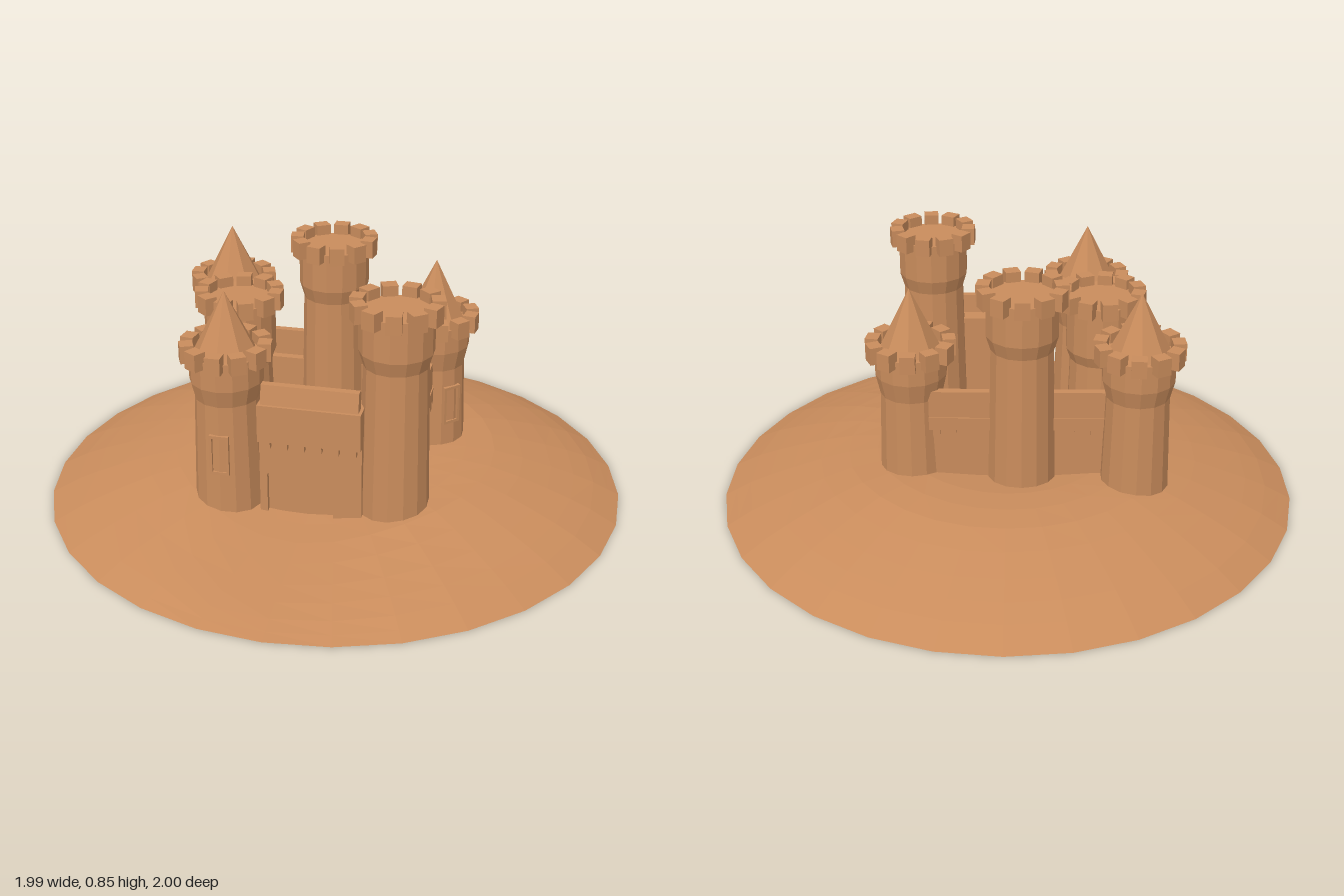
import * as THREE from 'three';

const material = new THREE.MeshStandardMaterial({ color: 0xc98c5c, flatShading: true, side: THREE.DoubleSide });

function add(parent, name, geometry, x = 0, y = 0, z = 0) {
  const mesh = new THREE.Mesh(geometry, material);
  mesh.name = name;
  mesh.position.set(x, y, z);
  parent.add(mesh);
  return mesh;
}

// Box given by its extents along each axis
function slab(parent, name, x0, x1, y0, y1, z0, z1) {
  return add(parent, name, new THREE.BoxGeometry(x1 - x0, y1 - y0, z1 - z0),
    (x0 + x1) / 2, (y0 + y1) / 2, (z0 + z1) / 2);
}

// Height of the hill: a domed disc with a hollow in front of the gate
const profile = [[0, 0.14], [0.2, 0.15], [0.4, 0.163], [0.55, 0.152], [0.65, 0.13], [0.8, 0.086], [0.9, 0.05], [1, 0]];
function hillHeight(x, z) {
  const r = Math.min(1, Math.hypot(x, z));
  let i = 0;
  while (i < profile.length - 2 && r > profile[i + 1][0]) i++;
  const [r0, h0] = profile[i], [r1, h1] = profile[i + 1];
  let h = h0 + (h1 - h0) * (r - r0) / (r1 - r0);
  const front = THREE.MathUtils.smoothstep(z, -0.1, 0.45);
  h *= 1 - 0.48 * front * Math.exp(-(((x + 0.03) / 0.32) ** 2));
  h *= 1 - 0.12 * THREE.MathUtils.smoothstep(z, 0.3, 0.7);
  h *= 1 + 0.07 * THREE.MathUtils.smoothstep(-z, 0.1, 0.4);
  return Math.max(0, h + 0.006 * Math.sin(7 * x + 2) * Math.sin(6 * z) * (1 - r));
}

// Open-bottomed hill made of concentric rings
function hillGeometry() {
  const sides = 30, rings = [0, 0.12, 0.24, 0.36, 0.46, 0.56, 0.66, 0.76, 0.84, 0.91, 0.96, 1];
  const positions = [], index = [];
  rings.forEach((r, i) => {
    for (let j = 0; j < sides; j++) {
      const a = j / sides * Math.PI * 2;
      const x = r * Math.sin(a), z = r * Math.cos(a);
      positions.push(x, i === rings.length - 1 ? 0 : hillHeight(x, z), z);
      if (i === 0) continue;
      const k = (j + 1) % sides, p = (i - 1) * sides, q = i * sides;
      index.push(p + j, q + j, q + k);
      if (i > 1) index.push(p + j, q + k, p + k);
    }
  });
  const g = new THREE.BufferGeometry();
  g.setAttribute('position', new THREE.Float32BufferAttribute(positions, 3));
  g.setIndex(index);
  g.computeVertexNormals();
  return g;
}

// Window: raised frame around a narrow opening, facing the given angle
function addWindow(tower, angle) {
  const w = new THREE.Group();
  w.name = 'window';
  w.rotation.y = angle;
  for (const s of [-1, 1]) {
    add(w, 'windowJamb', new THREE.BoxGeometry(0.009, 0.14, 0.02), s * 0.028, 0.31, 0.105);
    add(w, 'windowLintel', new THREE.BoxGeometry(0.064, 0.01, 0.02), 0, 0.31 + s * 0.065, 0.105);
  }
  tower.add(w);
}

// Round tower with a flared head, a ring of merlons and an optional spire
function makeTower({ x, z, top, neck, waist, spire, turn, window }) {
  const tower = new THREE.Group();
  tower.name = 'tower';
  tower.position.set(x, 0, z);
  const points = [[0, 0.03], [0.118, 0.03], [0.106, waist], [0.121, neck], [0.121, top - 0.035], [0, top - 0.035]];
  add(tower, 'towerBody', new THREE.LatheGeometry(points.map(p => new THREE.Vector2(...p)), 14));
  const count = 11;
  for (let i = 0; i < count; i++) {
    const a = turn + i / count * Math.PI * 2;
    const m = add(tower, 'merlon', new THREE.BoxGeometry(0.05, 0.06, 0.044),
      0.127 * Math.sin(a), top - 0.03, 0.127 * Math.cos(a));
    m.rotation.y = a;
  }
  if (spire) {
    const base = top - 0.035;
    add(tower, 'spire', new THREE.ConeGeometry(0.105, spire - base, 8), 0, (spire + base) / 2, 0);
  }
  if (window !== undefined) addWindow(tower, window);
  return tower;
}

// Overhanging ledge with a toothed lower edge, facing local +z
function addLedge(wall, length, y0, y1, z0, z1) {
  slab(wall, 'ledge', -length / 2, length / 2, y0, y1, z0, z1);
  const teeth = Math.max(2, Math.round(length / 0.056));
  for (let i = 0; i < teeth; i++) {
    const x = -length / 2 + (i + 0.25) * length / teeth;
    slab(wall, 'corbel', x, x + 0.5 * length / teeth, y0 - 0.022, y0, z0, z1);
  }
}

// Curtain wall: body, toothed ledge and parapet; outer side is local +z
function makeWall(x, z, length, angle) {
  const wall = new THREE.Group();
  wall.name = 'curtainWall';
  wall.position.set(x, 0, z);
  wall.rotation.y = angle;
  slab(wall, 'wallBody', -length / 2, length / 2, 0.05, 0.38, -0.03, 0.018);
  addLedge(wall, length, 0.335, 0.38, -0.02, 0.03);
  slab(wall, 'parapet', -length / 2, length / 2, 0.38, 0.475, 0, 0.026);
  return wall;
}

// Gatehouse wall with a recessed arched doorway
function makeGate() {
  const gate = new THREE.Group();
  gate.name = 'gate';
  gate.position.x = 0.01;
  const face = new THREE.Shape([[-0.17, 0.04], [0.17, 0.04], [0.17, 0.49], [-0.17, 0.49]]
    .map(p => new THREE.Vector2(...p)));
  const arch = new THREE.Path();
  arch.moveTo(-0.145, 0.05);
  arch.lineTo(-0.145, 0.23);
  arch.bezierCurveTo(-0.12, 0.31, 0.05, 0.31, 0.075, 0.23);
  arch.lineTo(0.075, 0.05);
  arch.closePath();
  face.holes.push(arch);
  add(gate, 'gateFront', new THREE.ExtrudeGeometry(face, { depth: 0.02, bevelEnabled: false, curveSegments: 8 }), 0, 0, 0.4);
  slab(gate, 'gateDoorWall', -0.17, 0.17, 0.04, 0.49, 0.33, 0.402);
  addLedge(gate, 0.34, 0.36, 0.49, 0.39, 0.443);
  const parapet = new THREE.Shape([[0.39, 0.48], [0.435, 0.48], [0.42, 0.555], [0.395, 0.555]]
    .map(p => new THREE.Vector2(-p[0], p[1])));
  const top = add(gate, 'gateParapet', new THREE.ExtrudeGeometry(parapet, { depth: 0.32, bevelEnabled: false }), -0.16, 0, 0);
  top.rotation.y = Math.PI / 2;
  return gate;
}

export function createModel() {
  const model = new THREE.Group();
  model.name = 'castle';
  add(model, 'hill', hillGeometry());

  const half = Math.PI / 2;
  const towers = [
    { x: -0.43, z: -0.24, top: 0.67, neck: 0.54, waist: 0.48, spire: 0.84, turn: 0.2 },
    { x: -0.05, z: -0.2, top: 0.85, neck: 0.68, waist: 0.63, turn: Math.PI },
    { x: 0.32, z: -0.14, top: 0.63, neck: 0.51, waist: 0.44, spire: 0.81, turn: Math.PI, window: Math.PI / 4 },
    { x: -0.32, z: 0.06, top: 0.73, neck: 0.515, waist: 0.475, turn: half },
    { x: -0.28, z: 0.36, top: 0.67, neck: 0.54, waist: 0.48, spire: 0.84, turn: 0, window: 0 },
    { x: 0.27, z: 0.33, top: 0.85, neck: 0.68, waist: 0.63, turn: 0.1 },
  ];
  towers.forEach(t => model.add(makeTower(t)));

  model.add(makeGate());
  model.add(makeWall(0.307, 0.09, 0.32, half));
  model.add(makeWall(0.13, -0.2, 0.26, Math.PI));
  model.add(makeWall(-0.24, -0.2, 0.26, Math.PI));
  model.add(makeWall(-0.38, -0.09, 0.24, -half + 0.3));
  model.add(makeWall(-0.36, 0.21, 0.22, -half));
  return model;
}
